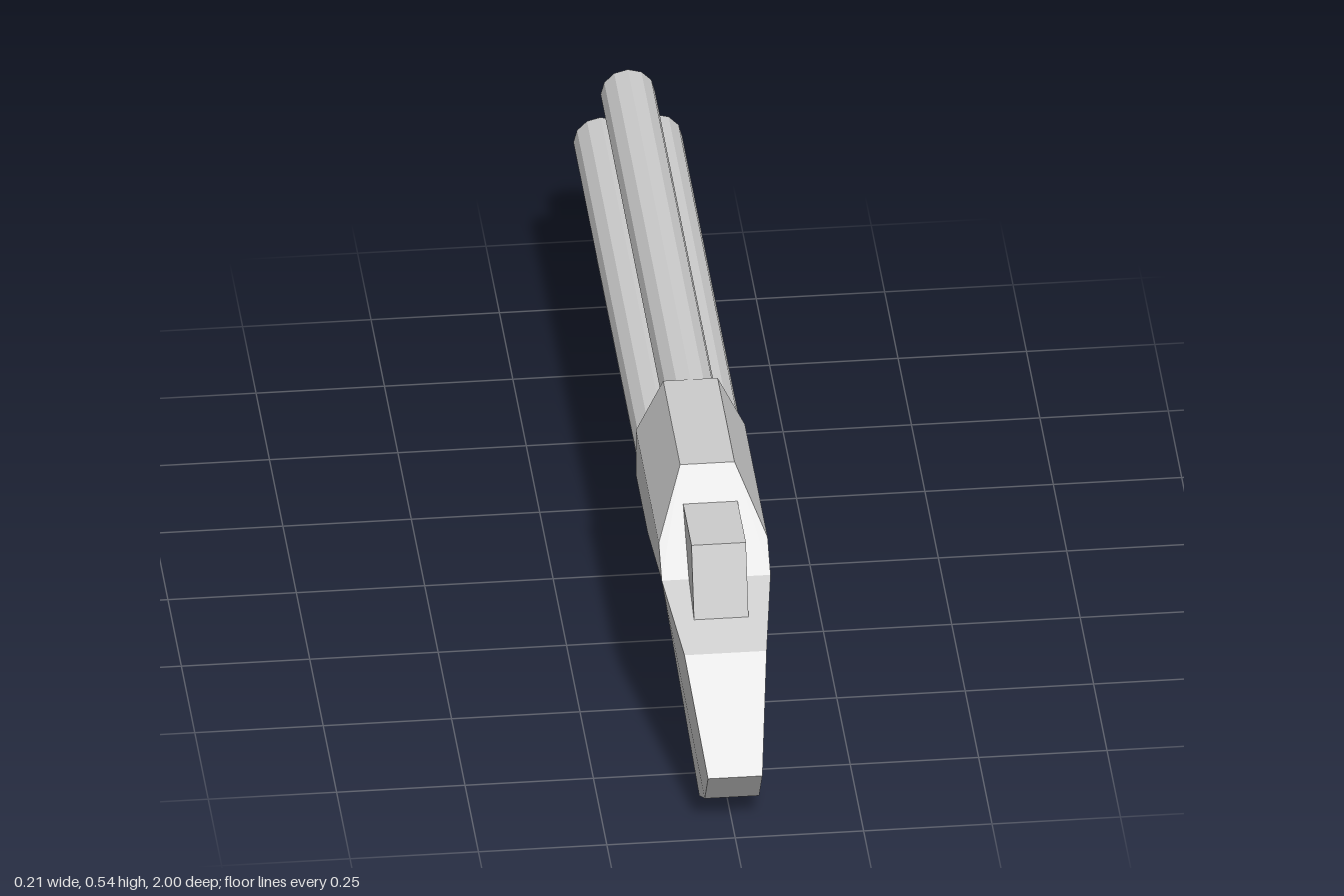
import * as THREE from 'three';
import { ConvexGeometry } from 'three/addons/geometries/ConvexGeometry.js';

const material = new THREE.MeshStandardMaterial({ color: 0xcccccc, flatShading: true });

// Solid mirrored in x: outline of [z, y, half width], with triangles for its +x side
function mirroredSolid(outline, sideTriangles) {
  const n = outline.length;
  const positions = [];
  for (const s of [1, -1]) for (const [z, y, w] of outline) positions.push(s * w, y, z);
  const index = [];
  for (const [a, b, c] of sideTriangles) index.push(a, b, c, a + n, c + n, b + n);
  for (let i = 0; i < n; i++) {
    const j = (i + 1) % n;
    index.push(i, i + n, j + n, i, j + n, j);
  }
  const geometry = new THREE.BufferGeometry();
  geometry.setAttribute('position', new THREE.Float32BufferAttribute(positions, 3));
  geometry.setIndex(index);
  const flat = geometry.toNonIndexed();
  flat.computeVertexNormals();
  return flat;
}

export function createModel() {
  const group = new THREE.Group();
  const add = (name, geometry) => {
    const mesh = new THREE.Mesh(geometry, material);
    mesh.name = name;
    group.add(mesh);
    return mesh;
  };

  // Fore-end and angled grip in one piece
  add('stock', mirroredSolid([
    [-0.57, 0.375, 0.106], // 0 fore-end top
    [0.645, 0.375, 0.106], // 1 behind receiver
    [0.82, 0.31, 0.08],    // 2 grip shoulder
    [1, 0.137, 0.053],     // 3 butt top
    [0.938, 0.055, 0.053], // 4 butt middle
    [0.835, 0, 0.053],     // 5 butt bottom
    [0.535, 0.22, 0.053],  // 6 grip root
    [-0.522, 0.22, 0.053], // 7 fore-end bottom
  ], [[0, 1, 6], [0, 6, 7], [1, 5, 6], [1, 4, 5], [1, 2, 4], [2, 3, 4]]));

  // Receiver with chamfered top and sloping rear
  const corners = [
    [0.053, 0.535, 0.165], [0.106, 0.427, 0.165], [0.106, 0.325, 0.165],
    [0.053, 0.535, 0.48], [0.106, 0.427, 0.59], [0.106, 0.375, 0.645], [0.106, 0.325, 0.38],
  ];
  add('receiver', new ConvexGeometry(corners.flatMap(([x, y, z]) =>
    [new THREE.Vector3(x, y, z), new THREE.Vector3(-x, y, z)])));

  // Hammer block on the rear slope
  add('hammer', mirroredSolid([
    [0.535, 0.48, 0.053], [0.692, 0.48, 0.053], [0.74, 0.338, 0.053], [0.535, 0.338, 0.053],
  ], [[0, 1, 2], [0, 2, 3]]));

  // Three barrels: one above, two below
  const barrel = new THREE.CylinderGeometry(0.053, 0.053, 1.2, 12);
  barrel.rotateX(Math.PI / 2);
  for (const [name, x, y] of [
    ['topBarrel', 0, 0.482], ['leftBarrel', 0.053, 0.377], ['rightBarrel', -0.053, 0.377],
  ]) add(name, barrel).position.set(x, y, -0.4);

  return group;
}
